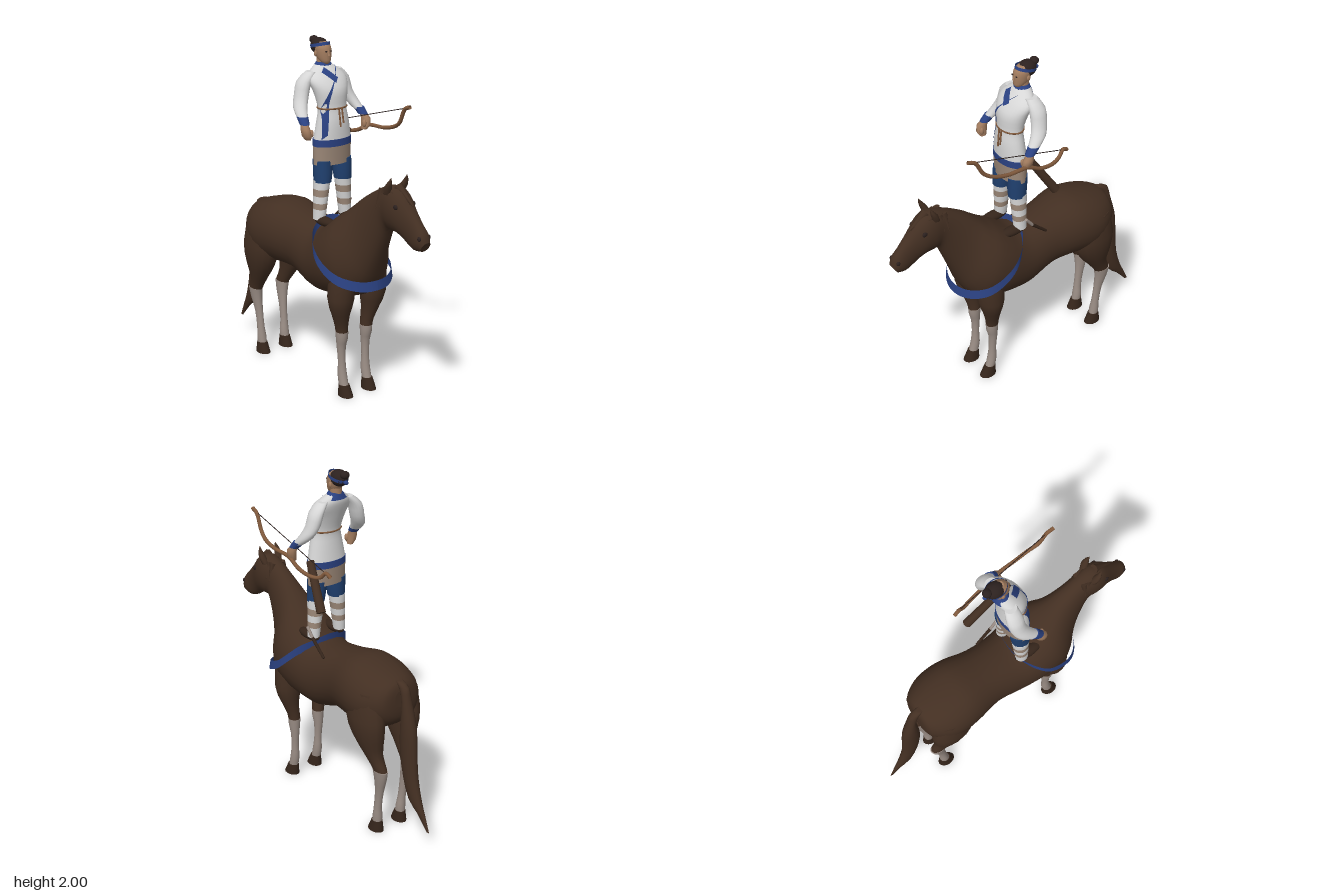
import * as THREE from 'three';

const mat = (name, color) => Object.assign(new THREE.MeshStandardMaterial({ color, side: THREE.DoubleSide }), { name });
const M = {
  coat: mat('brown coat', 0x432f22), hoof: mat('dark hoof and shoe', 0x35251b), sock: mat('pale stocking', 0x9a8d85),
  white: mat('white cloth', 0xd6d6d6), blue: mat('blue cloth', 0x2b4283), navy: mat('deep blue breeches', 0x20406f),
  beige: mat('beige cloth', 0x9c8878), skin: mat('skin', 0xa27c5f), hair: mat('dark hair', 0x2c211f), wood: mat('bow wood', 0x80593c),
};
const V = (x, y, z) => new THREE.Vector3(x, y, z);

// Closed skin over a list of rings, always wound outwards
function loft(rings) {
  const n = rings[0].length, p = rings.flat(), idx = [], last = rings.length - 1;
  for (let i = 0; i < last; i++) for (let j = 0; j < n; j++) {
    const a = i * n + j, b = i * n + (j + 1) % n;
    idx.push(a, b, a + n, b, b + n, a + n);
  }
  for (const [r, flip] of [[0, true], [last, false]]) {
    const c = p.length, base = c;
    const mid = rings[r].reduce((s, v) => s.add(v), V(0, 0, 0)).divideScalar(n);
    p.push(...rings[r].map(v => v.clone()), mid);
    for (let j = 0; j < n; j++) {
      const a = base + j, b = base + (j + 1) % n;
      flip ? idx.push(b, a, base + n) : idx.push(a, b, base + n);
    }
  }
  let vol = 0;
  for (let i = 0; i < idx.length; i += 3) vol += p[idx[i]].dot(p[idx[i + 1]].clone().cross(p[idx[i + 2]]));
  if (vol < 0) idx.reverse();
  const g = new THREE.BufferGeometry().setFromPoints(p);
  g.setIndex(idx);
  g.computeVertexNormals();
  return g;
}

// Horizontal elliptical sections [x, y, z, rx, rz]; s mirrors in x
const stack = (secs, s = 1, n = 16) => loft(secs.map(([x, y, z, rx, rz]) =>
  Array.from({ length: n }, (_, j) => {
    const a = j / n * Math.PI * 2;
    return V(s * (x + rx * Math.sin(a)), y, z + rz * Math.cos(a));
  })));

// Open band between two rows of points
function ribbon(lower, upper) {
  const idx = [], n = lower.length;
  for (let i = 0; i < n - 1; i++) idx.push(i, i + 1, n + i, i + 1, n + i + 1, n + i);
  const g = new THREE.BufferGeometry().setFromPoints([...lower, ...upper]);
  g.setIndex(idx);
  g.computeVertexNormals();
  return g;
}

// Catmull-Rom refinement of section rows
function refine(rows, k) {
  const out = [], at = i => rows[Math.max(0, Math.min(rows.length - 1, i))];
  for (let i = 0; i < rows.length - 1; i++) for (let q = 0; q < k; q++) {
    const t = q / k;
    out.push(at(i).map((b, c) => {
      const a = at(i - 1)[c], d = at(i + 1)[c], e = at(i + 2)[c];
      return b + 0.5 * t * (d - a + t * (2 * a - 5 * b + 4 * d - e + t * (3 * (b - d) + e - a)));
    }));
  }
  return [...out, at(rows.length)];
}

export function createModel() {
  const root = new THREE.Group(), horse = new THREE.Group(), rider = new THREE.Group();
  horse.name = 'horse'; rider.name = 'rider';
  root.add(horse, rider);
  const add = (parent, name, geo, m) => {
    const o = new THREE.Mesh(geo, m);
    o.name = name; parent.add(o);
    return o;
  };
  const ball = (parent, name, m, pos, r) => {
    const o = add(parent, name, new THREE.SphereGeometry(1, 16, 12), m);
    o.position.set(...pos); o.scale.set(...r);
    return o;
  };
  const rod = (parent, name, m, a, b, r0, r1 = r0, n = 10) => {
    const d = b.clone().sub(a), o = add(parent, name, new THREE.CylinderGeometry(r1, r0, d.length(), n), m);
    o.position.copy(a).addScaledVector(d, 0.5);
    o.quaternion.setFromUnitVectors(V(0, 1, 0), d.normalize());
    return o;
  };
  const tube = (pts, r, n = 40) => new THREE.TubeGeometry(new THREE.CatmullRomCurve3(pts.map(p => V(...p))), n, r, 8);

  // Horse trunk, neck and head: top z, top y, bottom z, bottom y, half width
  const trunk = [
    [-.605, .9, -.61, .8, .05], [-.585, .945, -.595, .71, .13], [-.5, .98, -.5, .64, .192], [-.4, 1.005, -.4, .62, .21],
    [-.3, 1.013, -.28, .63, .2], [-.15, .98, -.15, .62, .172], [0, .957, 0, .565, .18], [.08, .972, .1, .562, .192],
    [.14, 1.01, .24, .582, .205], [.2, 1.055, .36, .62, .2], [.25, 1.09, .42, .70, .17], [.31, 1.14, .455, .78, .125],
    [.37, 1.19, .49, .87, .095], [.45, 1.243, .53, .97, .075], [.52, 1.28, .565, 1.05, .068], [.6, 1.305, .6, 1.055, .075],
    [.665, 1.285, .65, 1.05, .07], [.735, 1.21, .69, 1.03, .052], [.8, 1.14, .73, 1.005, .042], [.842, 1.095, .775, .99, .043],
    [.857, 1.05, .825, .995, .03]];
  add(horse, 'body', loft(refine(trunk, 3).map(([zt, yt, zb, yb, w]) => Array.from({ length: 24 }, (_, j) => {
    const a = j / 24 * Math.PI * 2, c = Math.cos(a), s = Math.sin(a);
    return V(Math.sign(s) * w * Math.abs(s) ** .85, (yt + yb) / 2 + (yt - yb) / 2 * c, (zt + zb) / 2 + (zt - zb) / 2 * c);
  }))), M.coat);
  add(horse, 'tail', stack(refine([
    [0, .95, -.57, .02, .03], [0, .925, -.615, .025, .035], [0, .85, -.645, .03, .025], [0, .7, -.663, .04, .052],
    [0, .55, -.67, .038, .06], [0, .4, -.692, .035, .052], [0, .27, -.735, .028, .048], [0, .2, -.79, .015, .027],
    [0, .115, -.846, .004, .01]], 2)), M.coat);

  // Legs, stockings and hooves
  const legs = {
    front: [
      [[.11, .78, .29, .06, .09], [.115, .6, .285, .075, .078], [.108, .5, .275, .052, .054], [.093, .42, .264, .037, .04], [.088, .37, .262, .034, .037]],
      [[.088, .385, .262, .036, .038], [.088, .34, .262, .033, .035], [.088, .29, .257, .026, .027], [.086, .2, .26, .022, .022], [.085, .12, .264, .027, .028], [.085, .05, .28, .026, .03]],
      [[.085, .065, .28, .03, .034], [.085, 0, .295, .038, .052]]],
    hind: [
      [[.11, .88, -.44, .08, .12], [.125, .72, -.45, .083, .14], [.12, .6, -.468, .07, .112], [.11, .5, -.5, .046, .066], [.1, .42, -.545, .033, .052], [.1, .39, -.553, .03, .046]],
      [[.1, .41, -.552, .034, .053], [.096, .35, -.55, .03, .042], [.09, .26, -.535, .022, .028], [.088, .16, -.522, .022, .024], [.085, .1, -.517, .028, .028], [.085, .05, -.512, .026, .03]],
      [[.085, .065, -.512, .03, .034], [.085, 0, -.503, .038, .053]]],
  };
  for (const s of [1, -1]) {
    const side = s > 0 ? 'Left' : 'Right';
    for (const [k, [leg, sock, hoof]] of Object.entries(legs)) {
      add(horse, k + side + 'Leg', stack(refine(leg, 2), s), M.coat);
      add(horse, k + side + 'Stocking', stack(refine(sock, 2), s), M.sock);
      add(horse, k + side + 'Hoof', stack(hoof, s), M.hoof);
    }
    add(horse, 'ear' + side, stack([[.045, 1.26, .585, .022, .022], [.056, 1.3, .6, .023, .02], [.058, 1.33, .615, .014, .012], [.055, 1.36, .627, .001, .001]], s, 8), M.coat);
    ball(horse, 'eye' + side, M.hair, [s * .062, 1.21, .67], [.008, .014, .016]);
    ball(horse, 'nostril' + side, M.hair, [s * .034, 1.07, .828], [.008, .013, .012]);
    // Mane locks hanging beside the poll
    for (let i = 0; i < 4; i++) {
      const lock = rod(horse, 'maneLock' + side, M.coat, V(s * .07, 1.17 + i * .01, .52 + i * .03), V(s * .035, 1.275, .53 + i * .03), .002, .022, 6);
      lock.scale.x = .7;
    }
  }
  rod(horse, 'forelock', M.coat, V(0, 1.22, .74), V(0, 1.3, .62), .003, .028, 8);

  // Breast strap: a closed loop around chest and withers
  const half = [[0, .70, .468], [.08, .70, .45], [.15, .715, .41], [.2, .74, .345], [.217, .785, .25], [.212, .85, .17], [.17, .915, .105], [.1, .95, .06], [0, .972, .04]];
  const loop = new THREE.CatmullRomCurve3([...half, ...half.slice(1, -1).reverse().map(([x, y, z]) => [-x, y, z])].map(p => V(...p)), true).getPoints(64);
  add(horse, 'breastStrap', ribbon(loop.map(p => V(p.x, p.y - .028, p.z)), loop.map(p => V(p.x * .98, p.y + .028, p.z - .008))), M.blue);

  // Robe, hem and skirt
  const robe = refine([[0, 1.455, .06, .12, .072], [0, 1.55, .064, .102, .068], [0, 1.63, .06, .088, .062], [0, 1.72, .045, .106, .075],
    [0, 1.78, .018, .122, .07], [0, 1.82, -.005, .098, .058], [0, 1.855, -.02, .05, .04]], 3);
  add(rider, 'robe', stack(robe, 1, 32), M.white);
  add(rider, 'robeHem', stack([[0, 1.42, .06, .123, .074], [0, 1.46, .06, .122, .0745]], 1, 32), M.blue);
  add(rider, 'skirt', stack([[0, 1.315, .06, .12, .066], [0, 1.42, .06, .122, .072]], 1, 32), M.beige);

  // Blue lapels lying on the robe
  const onRobe = (x, y) => {
    const i = Math.max(1, robe.findIndex(r => r[1] >= y)), a = robe[i - 1], b = robe[i], t = (y - a[1]) / (b[1] - a[1]);
    const [, , z, rx, rz] = a.map((v, c) => v + (b[c] - v) * t);
    return V(x, y, z + rz * Math.sqrt(Math.max(0, 1 - (x / rx) ** 2)) + .005);
  };
  const lapel = (name, pts, dx, dy) => {
    const q = refine(pts, 5);
    add(rider, name, ribbon(q.map(([x, y]) => onRobe(x - dx, y - dy)), q.map(([x, y]) => onRobe(x + dx, y + dy))), M.blue);
  };
  lapel('longLapel', [[.045, 1.835], [0, 1.79], [-.045, 1.735], [-.07, 1.67], [-.077, 1.6], [-.09, 1.475]], .014, .012);
  lapel('shortLapel', [[-.045, 1.835], [-.02, 1.81], [.01, 1.78]], .014, .012);
  add(rider, 'collar', stack([[0, 1.83, -.016, .075, .052], [0, 1.855, -.02, .05, .042], [0, 1.868, -.02, .038, .038]]), M.blue);

  // Cord belt with hanging ends
  const belt = add(rider, 'beltCord', new THREE.TorusGeometry(1, .05, 8, 32), M.wood);
  belt.rotation.x = Math.PI / 2; belt.position.set(0, 1.63, .06); belt.scale.set(.09, .065, .1);
  for (const x of [-.006, .014]) rod(rider, 'beltEnd', M.wood, V(x, 1.635, .128), V(x + .004, 1.535 + x, .14), .005);

  for (const s of [1, -1]) {
    const side = s > 0 ? 'Left' : 'Right';
    // Arms
    add(rider, 'sleeve' + side, stack(refine([[.085, 1.825, -.015, .03, .035], [.13, 1.775, -.022, .038, .048], [.152, 1.7, -.018, .038, .046],
      [.178, 1.64, .005, .036, .045], [.197, 1.59, .052, .028, .034]], 2), s), M.white);
    add(rider, 'cuff' + side, stack([[.197, 1.6, .048, .03, .036], [.205, 1.562, .08, .026, .03]], s), M.blue);
    add(rider, 'hand' + side, stack([[.206, 1.57, .078, .018, .02], [.212, 1.54, .095, .024, .032], [.208, 1.505, .102, .025, .032], [.198, 1.48, .1, .015, .02]], s, 12), M.skin);
    ball(rider, 'thumb' + side, M.skin, [s * .186, 1.515, .115], [.011, .022, .013]);
    // Legs with wrapped shins
    add(rider, 'breeches' + side, stack([[.066, 1.34, .06, .053, .06], [.068, 1.27, .064, .052, .058], [.072, 1.215, .066, .048, .053]], s), M.navy);
    const wraps = [1.225, 1.175, 1.135, 1.095, 1.06, 1.0], r = y => .033 + (y - 1) * .06;
    for (let i = 0; i < 5; i++) {
      const sec = y => [.092 - (y - 1) * .08, y, .062, r(y), r(y) + .005];
      add(rider, 'shinWrap' + side, stack([sec(wraps[i + 1]), sec(wraps[i])], s), i % 2 ? M.beige : M.white);
    }
    ball(rider, 'shoe' + side, M.hoof, [s * .088, .995, .11], [.034, .027, .09]);
    ball(rider, 'earOfRider' + side, M.skin, [s * .044, 1.915, -.03], [.007, .016, .011]);
    ball(rider, 'eyeOfRider' + side, M.hair, [s * .017, 1.93, .03], [.007, .004, .004]);
  }

  // Head
  add(rider, 'neck', stack([[0, 1.84, -.025, .034, .036], [0, 1.9, -.025, .032, .034]]), M.skin);
  add(rider, 'head', stack(refine([[0, 1.86, .004, .016, .018], [0, 1.872, -.002, .028, .034], [0, 1.895, -.014, .038, .047], [0, 1.925, -.022, .043, .055],
    [0, 1.955, -.03, .043, .055], [0, 1.98, -.035, .025, .035]], 2)), M.skin);
  rod(rider, 'nose', M.skin, V(0, 1.905, .034), V(0, 1.94, .028), .009, .003, 6);
  ball(rider, 'hair', M.hair, [0, 1.95, -.052], [.047, .046, .056]);
  ball(rider, 'bun', M.hair, [0, 1.978, -.1], [.026, .022, .026]);
  const band = add(rider, 'headband', new THREE.CylinderGeometry(1, 1, .018, 24, 1, true), M.blue);
  band.position.set(0, 1.957, -.045); band.scale.set(.049, 1, .064); band.rotation.x = -.25;
  ball(rider, 'bandKnot', M.blue, [0, 1.938, -.112], [.012, .012, .014]);

  // Bow and string
  add(rider, 'bow', tube([[.2, 1.672, .478], [.203, 1.655, .435], [.21, 1.57, .385], [.222, 1.535, .33], [.225, 1.51, .24], [.222, 1.5, .11],
    [.218, 1.455, .02], [.205, 1.437, -.07], [.188, 1.447, -.13], [.178, 1.48, -.165], [.172, 1.464, -.197]], .011, 60), M.wood);
  rod(rider, 'bowString', M.hair, V(.202, 1.66, .44), V(.178, 1.478, -.165), .0025, .0025, 5);

  // Quiver and short blade at the left side
  rod(rider, 'quiver', M.coat, V(.175, 1.23, -.12), V(.132, 1.475, .035), .026, .022, 12);
  rod(rider, 'bladeSheath', M.hoof, V(.135, .93, -.09), V(.138, 1.02, .01), .008, .01, 8);
  rod(rider, 'bladeHilt', M.sock, V(.138, 1.02, .01), V(.14, 1.075, .055), .009, .009, 8);
  return root;
}
